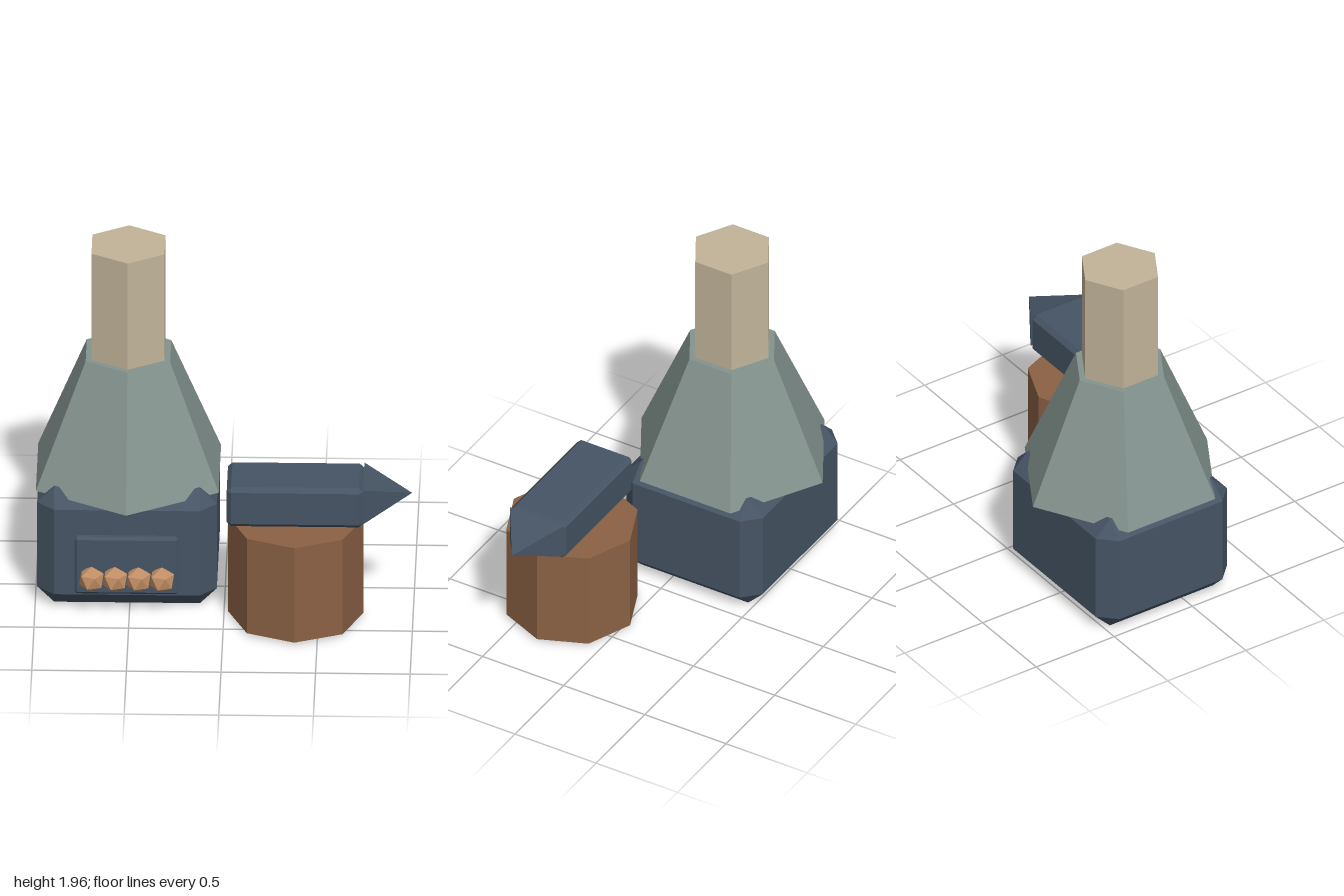
import * as THREE from 'three';
import { ConvexGeometry } from 'three/addons/geometries/ConvexGeometry.js';

const material = (name, color) => {
  const m = new THREE.MeshStandardMaterial({ color });
  m.name = name;
  return m;
};

// Faceted normals for low-poly shapes
function faceted(geometry) {
  const g = geometry.toNonIndexed();
  g.computeVertexNormals();
  return g;
}

// Box with every edge cut at 45 degrees, given by its bounds
function chamferedBox(min, max, c) {
  const points = [];
  const half = min.map((v, i) => (max[i] - v) / 2);
  for (const sx of [-1, 1]) for (const sy of [-1, 1]) for (const sz of [-1, 1]) {
    for (let axis = 0; axis < 3; axis++) {
      const h = half.map((v, i) => (i === axis ? v : v - c));
      points.push(new THREE.Vector3(sx * h[0], sy * h[1], sz * h[2]));
    }
  }
  const g = new ConvexGeometry(points);
  g.translate(...min.map((v, i) => (v + max[i]) / 2));
  return g;
}

// Upright prism or frustum with one corner towards the front
function prism(rTop, rBottom, y0, y1, sides, x, z) {
  const g = faceted(new THREE.CylinderGeometry(rTop, rBottom, y1 - y0, sides));
  g.translate(x, (y0 + y1) / 2, z);
  return g;
}

export function createModel() {
  const iron = material('dark iron', 0x465464);
  const hoodMetal = material('grey green metal', 0x84938f);
  const clay = material('pale clay', 0xc2b499);
  const wood = material('brown wood', 0x8b6144);
  const ember = material('orange ember', 0xc28f66);

  const model = new THREE.Group();
  model.name = 'forge';
  const add = (name, geometry, mat, parent = model) => {
    const mesh = new THREE.Mesh(geometry, mat);
    mesh.name = name;
    parent.add(mesh);
    return mesh;
  };

  // Furnace with hood and chimney
  const fx = -0.515, fz = -0.13;
  add('furnaceBody', chamferedBox([-0.99, 0, -0.55], [-0.04, 0.68, 0.29], 0.09), iron);
  add('hood', prism(0.258, 0.558, 0.63, 1.325, 6, fx, fz), hoodMetal);
  add('chimney', prism(0.223, 0.223, 1.3, 1.955, 6, fx, fz), clay);
  add('firebox', chamferedBox([-0.79, 0.107, 0.25], [-0.243, 0.443, 0.323], 0.014), iron);

  // Row of coals, each with a corner pointing up
  const coals = new THREE.Group();
  coals.name = 'coals';
  model.add(coals);
  const coal = new THREE.IcosahedronGeometry(0.073, 0);
  coal.rotateZ(-Math.atan(2 / (1 + Math.sqrt(5))));
  for (let i = 0; i < 4; i++) {
    add('coal', coal, ember, coals).position.set(-0.7 + i * 0.124, 0.21, 0.345);
  }

  // Wooden stump
  add('stump', prism(0.358, 0.358, 0.015, 0.575, 8, 0.38, 0.32), wood);

  // Anvil block with a pyramid horn
  const anvil = new THREE.Group();
  anvil.name = 'anvil';
  model.add(anvil);
  add('anvilBlock', chamferedBox([0.018, 0.595, 0.155], [0.74, 0.827, 0.49], 0.024), iron, anvil);
  const horn = [new THREE.Vector3(0.995, 0.73, 0.322)];
  for (const y of [0.623, 0.823]) for (const z of [0.157, 0.487]) horn.push(new THREE.Vector3(0.739, y, z));
  add('anvilHorn', new ConvexGeometry(horn), iron, anvil);

  return model;
}
